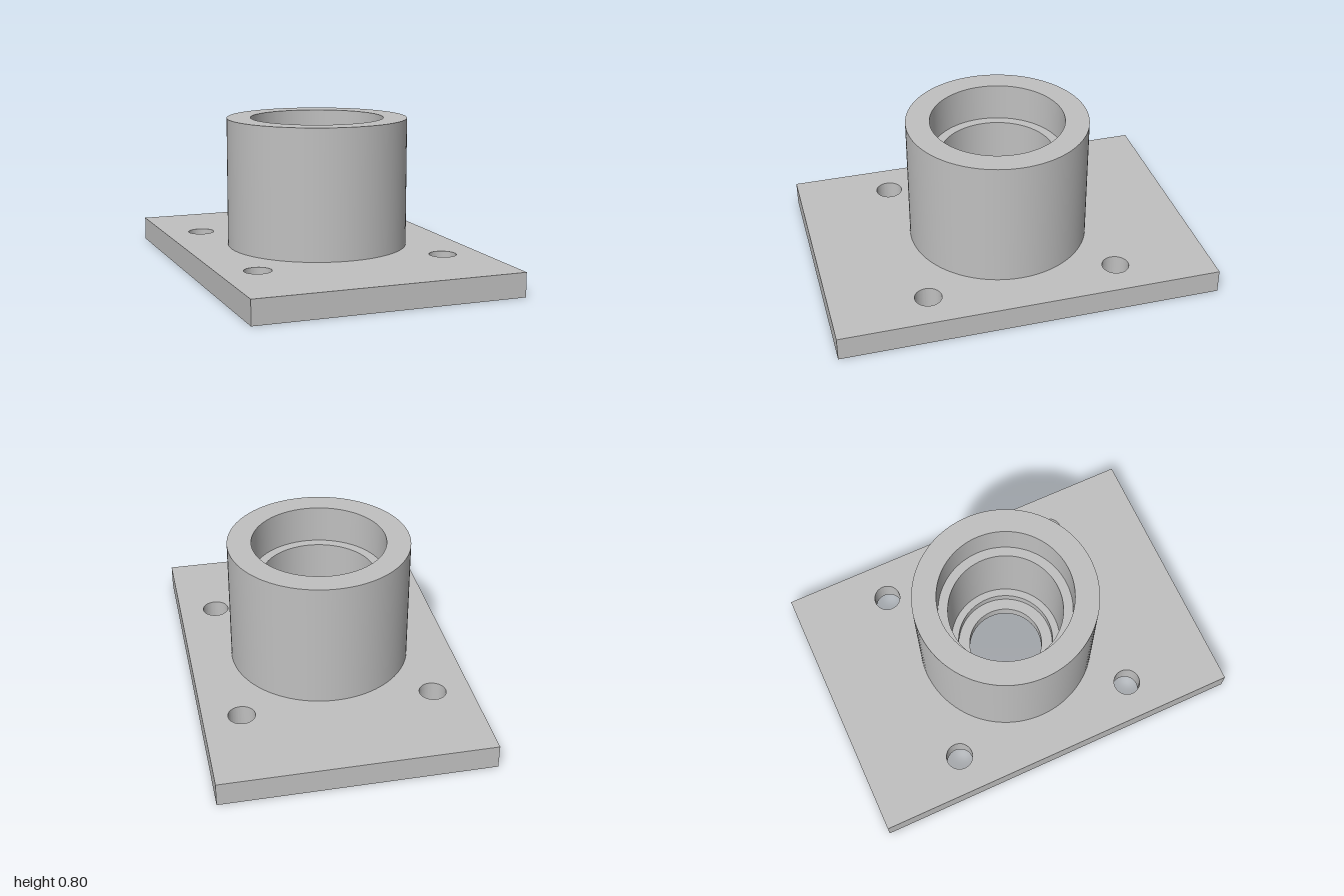
import * as THREE from 'three';
import { mergeGeometries, toCreasedNormals } from 'three/addons/utils/BufferGeometryUtils.js';

const SEGMENTS = 96;
const PLATE_HEIGHT = 0.125;
const HUB_RADIUS = 0.475;

function circleHole(x, y, radius) {
  const hole = new THREE.Path();
  hole.absarc(x, y, radius, 0, Math.PI * 2, true);
  return hole;
}

// Revolve each straight run separately so that the corners stay sharp
function sharpLathe(points) {
  const runs = [];
  for (let i = 0; i < points.length - 1; i++) {
    const pair = [points[i], points[i + 1]].map(([r, y]) => new THREE.Vector2(r, y));
    runs.push(new THREE.LatheGeometry(pair, SEGMENTS));
  }
  return mergeGeometries(runs);
}

export function createModel() {
  const model = new THREE.Group();
  model.name = 'flangedHousing';
  const metal = new THREE.MeshStandardMaterial({ color: 0xc0c0c0 });
  metal.name = 'grey metal';

  // Base plate with four bolt holes and an opening filled by the hub
  const outline = new THREE.Shape();
  outline.moveTo(-0.7, -1);
  outline.lineTo(0.7, -1);
  outline.lineTo(0.7, 1);
  outline.lineTo(-0.7, 1);
  outline.closePath();
  outline.holes.push(circleHole(0, 0, HUB_RADIUS));
  for (const x of [-0.5, 0.5]) {
    for (const y of [-0.5, 0.5]) outline.holes.push(circleHole(x, y, 0.07));
  }
  const plateGeometry = new THREE.ExtrudeGeometry(outline, {
    depth: PLATE_HEIGHT, bevelEnabled: false, curveSegments: SEGMENTS / 2,
  });
  plateGeometry.rotateX(-Math.PI / 2);
  const plate = new THREE.Mesh(toCreasedNormals(plateGeometry, 0.6), metal);
  plate.name = 'basePlate';
  model.add(plate);

  // Hub: outer wall, rim, then the stepped bore down to the underside
  const hub = new THREE.Mesh(sharpLathe([
    [HUB_RADIUS, PLATE_HEIGHT], [HUB_RADIUS, 0.8],
    [0.35, 0.8], [0.35, 0.6],
    [0.3, 0.6], [0.3, 0.125],
    [0.26, 0.125], [0.26, 0.07],
    [0.2, 0.07], [0.2, 0],
    [HUB_RADIUS, 0],
  ]), metal);
  hub.name = 'steppedHub';
  model.add(hub);

  return model;
}
